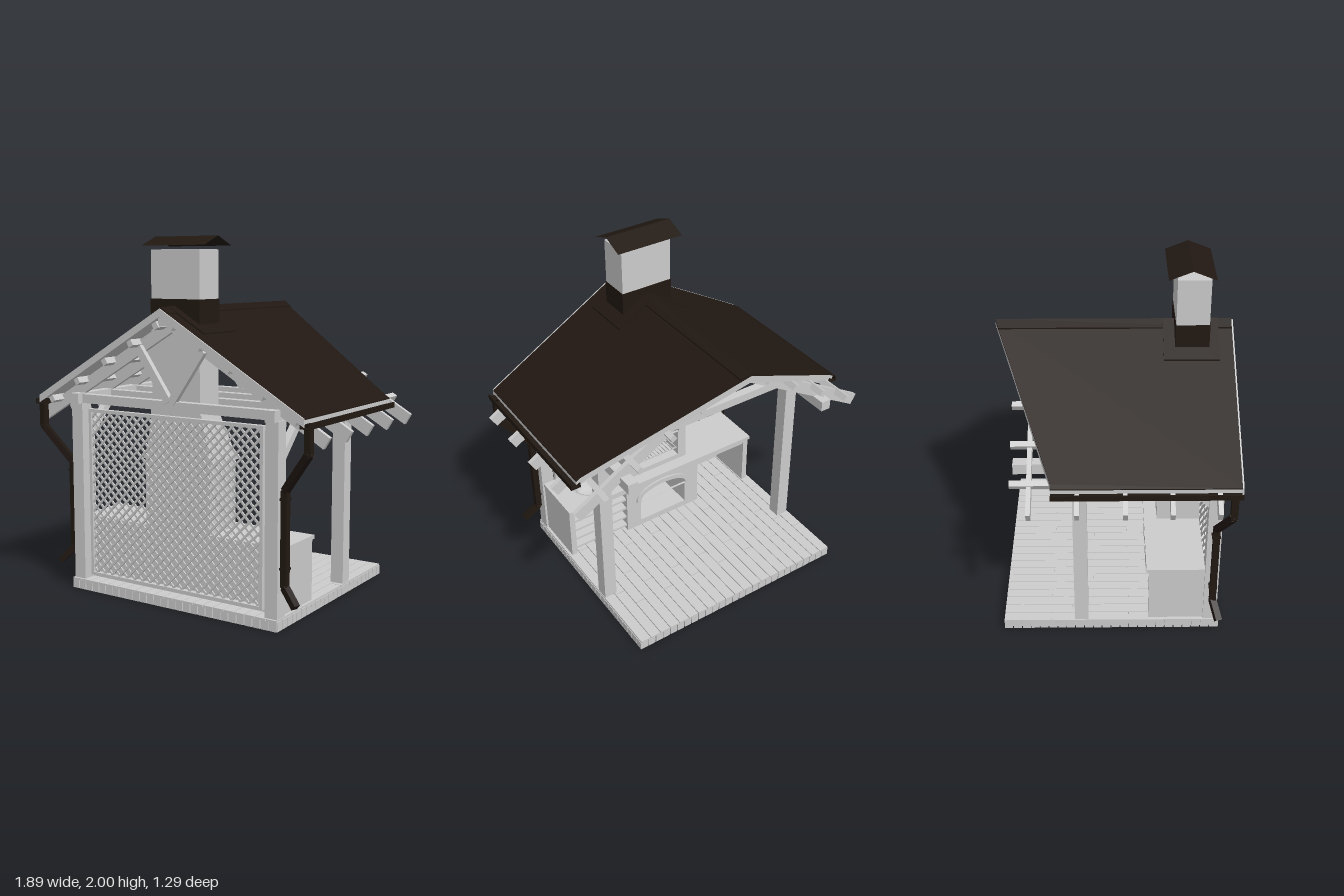
import * as THREE from 'three';

const grey = new THREE.MeshStandardMaterial({ color: 0xcccccc });
const dark = new THREE.MeshStandardMaterial({ color: 0x211812 });
const darkThin = new THREE.MeshStandardMaterial({ color: 0x211812, side: THREE.DoubleSide });
const greyThin = new THREE.MeshStandardMaterial({ color: 0xcccccc, side: THREE.DoubleSide });
const SLOPE = 0.59;
const PITCH = Math.atan(SLOPE);

export function createModel() {
  const root = new THREE.Group();
  const part = (name) => {
    const g = new THREE.Group();
    g.name = name;
    root.add(g);
    return g;
  };
  const add = (parent, name, geo, mat = grey) => {
    const m = new THREE.Mesh(geo, mat);
    m.name = name;
    parent.add(m);
    return m;
  };
  // Box given by its min and max on each axis
  const box = (parent, name, x0, x1, y0, y1, z0, z1, mat = grey) => {
    const m = add(parent, name, new THREE.BoxGeometry(x1 - x0, y1 - y0, z1 - z0), mat);
    m.position.set((x0 + x1) / 2, (y0 + y1) / 2, (z0 + z1) / 2);
    return m;
  };
  // Rectangular bar between two points, w across and h high
  const bar = (parent, name, p, q, w, h, mat = grey) => {
    const a = new THREE.Vector3(...p), b = new THREE.Vector3(...q);
    const m = add(parent, name, new THREE.BoxGeometry(w, h, a.distanceTo(b)), mat);
    m.position.copy(a).lerp(b, 0.5);
    m.lookAt(b);
    return m;
  };
  const extrude = (shape, depth) =>
    new THREE.ExtrudeGeometry(shape, { depth, bevelEnabled: false, curveSegments: 16 });
  const rect = (x0, x1, y0, y1) => new THREE.Shape(
    [[x0, y0], [x1, y0], [x1, y1], [x0, y1]].map((p) => new THREE.Vector2(...p)));

  // Floor: staggered planks from front to back, edged with bricks below the plank tops
  const floor = part('floor');
  const nx = 28, nz = 24, px = 1.37 / nx, pz = 1.22 / nz;
  for (let i = 0; i < nx; i++) {
    const x = -0.685 + i * px;
    for (const z of [-0.63, 0.58]) box(floor, 'rimBrick', x, x + px - 0.005, 0, 0.05, z, z + 0.01);
  }
  for (let j = 0; j < nz; j++) {
    const z = -0.63 + j * pz;
    for (const x of [-0.685, 0.675]) box(floor, 'rimBrick', x, x + 0.01, 0, 0.05, z, z + pz - 0.005);
  }
  box(floor, 'plankBed', -0.675, 0.675, 0.02, 0.05, -0.62, 0.58);
  const planks = 21, pw = 1.37 / planks;
  for (let i = 0; i < planks; i++) {
    const x = -0.685 + i * pw, cuts = [-0.63, -0.36 + (i % 3) * 0.12, 0.08 + (i % 3) * 0.12, 0.59];
    for (let k = 0; k < 3; k++) {
      const end = cuts[k + 1] - (k < 2 ? 0.004 : 0);
      box(floor, 'plank', x, x + pw - 0.004, 0.05, 0.06, cuts[k], end);
      box(floor, 'underPlank', Math.max(x, -0.675), Math.min(x + pw - 0.004, 0.675), 0.004, 0.02,
        Math.max(cuts[k], -0.62), Math.min(end, 0.58));
    }
  }

  // Posts, side plates, braces and tie beams
  const frame = part('timberFrame');
  for (const s of [-1, 1]) {
    const cx = s * 0.64;
    for (const z of [0.5, -0.228])
      box(frame, 'post', cx - 0.038, cx + 0.038, 0.06, 1.08, z, z + 0.077);
    box(frame, 'sidePlate', cx - 0.03, cx + 0.03, 1.075, 1.135, -0.53, 0.6);
    bar(frame, 'sideBrace', [cx, 0.85, 0.52], [cx, 1.09, 0.28], 0.04, 0.04);
  }
  for (const z of [0.54, 0.29, 0.05, -0.19])
    box(frame, 'tieBeam', -0.61, 0.61, 1.08, 1.13, z - 0.025, z + 0.025);
  for (const z of [0.555, -0.19]) for (const s of [-1, 1])
    bar(frame, 'trussStrut', [s * 0.01, 1.125, z], [s * 0.21, 1.41, z], 0.03, 0.045);

  // Rafters, purlins and ridge beam
  const rafters = part('roofTimbers');
  box(rafters, 'ridgeBeam', -0.035, 0.035, 1.53, 1.58, -0.54, 0.61);
  for (const s of [-1, 1]) {
    for (const z of [0.53, 0.29, 0.05, -0.195, -0.44])
      bar(rafters, 'rafter', [0, 1.535, z], [s * 0.928, 1.535 - SLOPE * 0.928, z], 0.024, 0.068);
    for (const x of [0.05, 0.22, 0.4, 0.6, 0.79]) {
      const m = box(rafters, 'purlin', -0.016, 0.016, -0.018, 0.018, -0.54, 0.62);
      m.position.x = s * x;
      m.position.y = 1.562 - SLOPE * x;
      m.rotation.z = -s * PITCH;
    }
  }

  // Roof slopes: a plan outline extruded, then dropped along the pitch
  const roof = part('roof');
  const slope = (name, plan, y, t, mat) => {
    const geo = extrude(new THREE.Shape(plan.map(([x, z]) => new THREE.Vector2(x, -z))), t);
    geo.rotateX(-Math.PI / 2);
    const p = geo.attributes.position;
    for (let i = 0; i < p.count; i++) p.setY(i, p.getY(i) + y - SLOPE * Math.abs(p.getX(i)));
    geo.computeVertexNormals();
    add(roof, name, geo, mat);
  };
  for (const s of [-1, 1]) {
    const side = (pts) => pts.map(([x, z]) => [s * x, z]);
    const plan = side([[0, 0.64], [0.86, 0.64], [0.86, -0.33], [0.835, -0.33], [0, -0.645]]);
    slope('roofBoards', plan, 1.596, 0.022, grey);
    slope('roofCover', plan, 1.618, 0.006, dark);
    slope('frontVerge', side([[0, 0.648], [0.86, 0.648], [0.86, 0.64], [0, 0.64]]), 1.582, 0.042, grey);
    slope('ridgeCap', side([[0, 0.638], [0.05, 0.638], [0.05, -0.626], [0, -0.645]]), 1.624, 0.008, dark);
    slope('chimneyFlashing', side([[0, 0.565], [0.225, 0.565], [0.225, 0.265], [0, 0.265]]), 1.624, 0.01, dark);
    bar(roof, 'backVerge', [0, 1.597, -0.63], [s * 0.84, 1.597 - SLOPE * 0.84, -0.315], 0.02, 0.04);
    // Gutter: floor and two walls
    const gut = (a, b, y0, y1) => box(roof, 'gutter', Math.min(s * a, s * b), Math.max(s * a, s * b), y0, y1, -0.33, 0.645, dark);
    gut(0.835, 0.89, 1.065, 1.072);
    gut(0.884, 0.891, 1.065, 1.095);
    gut(0.835, 0.842, 1.065, 1.095);
    // Downpipe with funnel
    const pipe = part('downpipe');
    const pts = [[0.866, 1.07, 0.605], [0.866, 0.935, 0.605], [0.703, 0.73, 0.545], [0.703, 0.23, 0.545], [0.785, 0.145, 0.575]];
    for (let i = 0; i < 4; i++) {
      const a = [s * pts[i][0], pts[i][1], pts[i][2]];
      const b = [s * pts[i + 1][0], pts[i + 1][1], pts[i + 1][2]];
      bar(pipe, 'pipeSection', a, b, 0.036, 0.036, dark);
      if (i) add(pipe, 'pipeElbow', new THREE.SphereGeometry(0.021, 10, 8), dark).position.set(...a);
    }
    const funnel = add(pipe, 'funnel', new THREE.CylinderGeometry(0.036, 0.026, 0.025, 4), dark);
    funnel.rotation.y = Math.PI / 4;
    funnel.position.set(s * 0.865, 1.078, 0.605);
    for (const y of [0.32, 0.68]) box(pipe, 'pipeClip', s * 0.703 - 0.021, s * 0.703 + 0.021, y, y + 0.012, 0.52, 0.566, dark);
  }

  // Lattice screen
  const screen = part('latticeScreen');
  const L = { x0: -0.56, x1: 0.56, y0: 0.1, y1: 1.035 };
  for (const y of [0.085, 1.03]) box(screen, 'screenRail', -0.575, 0.575, y, y + 0.018, 0.525, 0.555);
  for (const x of [-0.575, 0.557]) box(screen, 'screenStile', x, x + 0.018, 0.085, 1.048, 0.525, 0.555);
  for (const s of [-1, 1]) for (let c = -0.6; c < 1.7; c += 0.054) {
    // Line y = s * x + c, clipped to the panel
    const e = [s * (L.y0 - c), s * (L.y1 - c)].sort((a, b) => a - b);
    const a = Math.max(L.x0, e[0]), b = Math.min(L.x1, e[1]);
    const z = 0.54 + s * 0.004;
    if (b - a > 0.01) bar(screen, 'lath', [a, s * a + c, z], [b, s * b + c, z], 0.008, 0.0115);
  }

  // Fireplace: two arched openings, tapered hood and chimney
  const hearth = part('fireplace');
  const arch = (P, w, y0, y1, rise) => {
    const p = new P();
    p.moveTo(-w, y0);
    p.lineTo(w, y0);
    p.lineTo(w, y1);
    p.absellipse(0, y1, w, rise, 0, Math.PI, false);
    p.lineTo(-w, y0);
    return p;
  };
  const niche = (w, y0, y1, z, hw, hy0, hy1, rise) => {
    const body = rect(-w, w, y0, y1);
    body.holes.push(arch(THREE.Path, hw, hy0, hy1, rise));
    add(hearth, 'nicheBody', extrude(body, 0.47 - z)).position.z = z;
    box(hearth, 'nicheBack', -w, w, y0, y1, 0.47, 0.5);
    const trim = arch(THREE.Shape, hw + 0.03, hy1 - 0.01, hy1, rise + 0.03);
    trim.holes.push(arch(THREE.Path, hw, hy1 - 0.009, hy1, rise));
    add(hearth, 'archTrim', extrude(trim, 0.014)).position.z = z - 0.012;
  };
  niche(0.24, 0.06, 0.395, 0.19, 0.165, 0.1, 0.27, 0.07);
  niche(0.215, 0.415, 0.8, 0.25, 0.155, 0.45, 0.65, 0.07);
  box(hearth, 'mantel', -0.225, 0.225, 0.795, 0.818, 0.228, 0.505);
  const hood = new THREE.BoxGeometry(0.43, 0.25, 0.25).translate(0, 0.943, 0.375);
  const hp = hood.attributes.position;
  for (let i = 0; i < hp.count; i++) if (hp.getY(i) > 1) {
    hp.setX(i, hp.getX(i) * 0.73);
    if (hp.getZ(i) < 0.3) hp.setZ(i, 0.33);
  }
  hood.computeVertexNormals();
  add(hearth, 'hood', hood);
  box(hearth, 'chimney', -0.157, 0.157, 1.06, 1.93, 0.33, 0.508);
  box(hearth, 'chimneyCollar', -0.16, 0.16, 1.525, 1.67, 0.327, 0.511, dark);
  for (const s of [-1, 1]) {
    const leaf = add(hearth, 'chimneyCap', new THREE.PlaneGeometry(0.41, Math.hypot(0.125, 0.05)), darkThin);
    leaf.rotation.x = -Math.PI / 2 + s * Math.atan2(0.05, 0.125);
    leaf.position.set(0, 1.975, 0.405 + s * 0.0625);
  }
  // Grill grate
  for (let i = 0; i < 13; i++) {
    const x = -0.144 + i * 0.024;
    box(hearth, 'grateBar', x - 0.003, x + 0.003, 0.5, 0.507, 0.26, 0.46);
  }
  for (const z of [0.265, 0.36, 0.455]) box(hearth, 'grateRail', -0.155, 0.155, 0.493, 0.5, z - 0.004, z + 0.004);

  // Counters: open cabinets on both sides, the left one with shelves and a sink
  const counter = part('counter');
  const SX = 0.45, SZ = 0.33, SR = 0.085, END = 0.67;
  const top = rect(-END, END, -0.5, -0.175);
  top.holes.push(new THREE.Path().absarc(SX, -SZ, SR, 0, Math.PI * 2, true));
  const topMesh = add(counter, 'worktop', extrude(top, 0.022));
  topMesh.rotation.x = -Math.PI / 2;
  topMesh.position.y = 0.395;
  for (const s of [-1, 1]) {
    const cab = (name, a, b, y0, y1, z0, z1) =>
      box(counter, name, Math.min(s * a, s * b), Math.max(s * a, s * b), y0, y1, z0, z1);
    cab('cabinetEnd', END - 0.04, END - 0.005, 0.06, 0.395, 0.19, 0.5);
    cab('cabinetSide', 0.24, 0.265, 0.06, 0.395, 0.19, 0.5);
    cab('cabinetBack', 0.265, END - 0.04, 0.06, 0.395, 0.48, 0.5);
    cab('cabinetRail', 0.265, END - 0.04, 0.36, 0.395, 0.195, 0.215);
    if (s > 0) for (const y of [0.09, 0.16, 0.23, 0.3])
      cab('shelf', 0.265, END - 0.04, y, y + 0.014, 0.2, 0.48);
  }
  const bowl = [[0.001, 0.35], [0.055, 0.352], [0.08, 0.375], [SR, 0.417], [0.095, 0.421], [0.097, 0.416]];
  add(counter, 'sinkBowl', new THREE.LatheGeometry(bowl.map((p) => new THREE.Vector2(...p)), 28), greyThin)
    .position.set(SX, 0, SZ);
  const spout = new THREE.CatmullRomCurve3([[0.54, 0.415, 0.4], [0.54, 0.48, 0.4], [0.53, 0.498, 0.39], [0.5, 0.49, 0.375]]
    .map((p) => new THREE.Vector3(...p)));
  add(counter, 'tapSpout', new THREE.TubeGeometry(spout, 16, 0.006, 8, false), greyThin);
  bar(counter, 'tapLever', [0.54, 0.47, 0.4], [0.55, 0.475, 0.37], 0.006, 0.006);
  const knob = add(counter, 'soapPump', new THREE.CylinderGeometry(0.012, 0.016, 0.025, 12));
  knob.position.set(0.29, 0.428, 0.43);

  return root;
}
